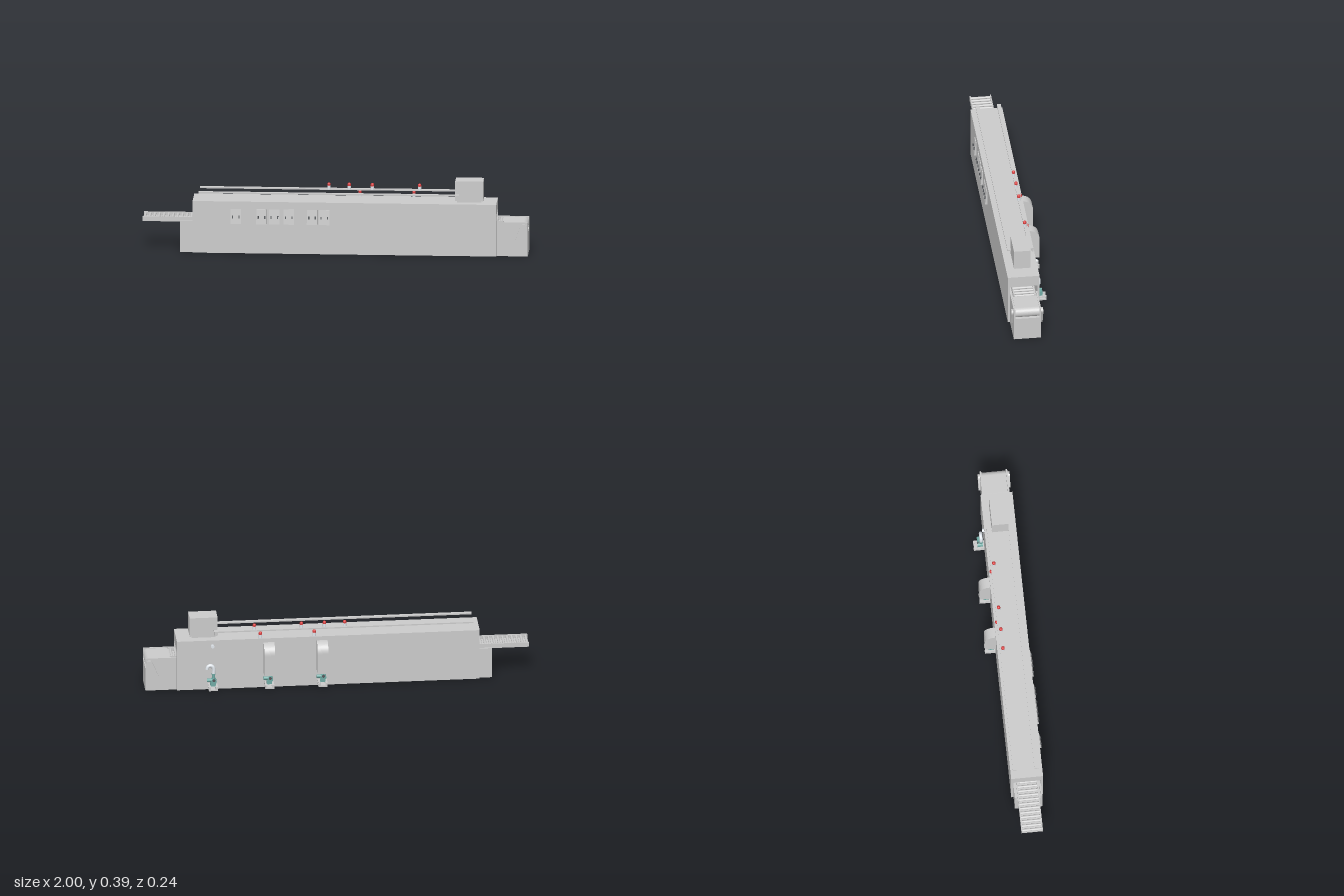
import * as THREE from 'three';

const paint = (color) => new THREE.MeshStandardMaterial({ color, side: THREE.DoubleSide });
const grey = paint(0xcccccc), red = paint(0xd94040), white = paint(0xe2e8ee);
const teal = paint(0x70aaa4), dark = paint(0x55585c);

function add(parent, name, geometry, material = grey) {
  const mesh = new THREE.Mesh(geometry, material);
  mesh.name = name;
  parent.add(mesh);
  return mesh;
}

// Box given by its limits on each axis
function box(parent, name, [x0, x1], [y0, y1], [z0, z1], material) {
  const mesh = add(parent, name, new THREE.BoxGeometry(x1 - x0, y1 - y0, z1 - z0), material);
  mesh.position.set((x0 + x1) / 2, (y0 + y1) / 2, (z0 + z1) / 2);
  return mesh;
}

function cylinder(parent, name, r, h, [x, y, z], material, axis = 'y') {
  const mesh = add(parent, name, new THREE.CylinderGeometry(r, r, h, 20), material);
  mesh.position.set(x, y, z);
  if (axis === 'x') mesh.rotation.z = Math.PI / 2;
  if (axis === 'z') mesh.rotation.x = Math.PI / 2;
  return mesh;
}

// Cross-section in (z, y), extruded along x from x0 to x1
function alongX(parent, name, shape, x0, x1, material) {
  const g = new THREE.ExtrudeGeometry(shape, { depth: x1 - x0, bevelEnabled: false, curveSegments: 16 });
  g.rotateY(-Math.PI / 2);
  g.scale(-1, 1, 1);
  // The mirror reverses the winding, so swap two corners of each triangle
  for (const key of ['position', 'normal', 'uv']) {
    const a = g.attributes[key], n = a.itemSize;
    for (let i = 0; i < a.count; i += 3) {
      for (let k = 0; k < n; k++) {
        const p = (i + 1) * n + k, q = (i + 2) * n + k;
        [a.array[p], a.array[q]] = [a.array[q], a.array[p]];
      }
    }
  }
  g.computeVertexNormals();
  const mesh = add(parent, name, g, material);
  mesh.position.x = x0;
  return mesh;
}

const polygon = (pts) => new THREE.Shape(pts.map(([a, b]) => new THREE.Vector2(a, b)));

// Upright capsule outline
function capsule(r, half) {
  const s = new THREE.Shape();
  s.absarc(0, half, r, 0, Math.PI);
  s.absarc(0, -half, r, Math.PI, Math.PI * 2);
  s.closePath();
  return s;
}

function beacon(parent, x, y, z) {
  const g = new THREE.Group();
  g.name = 'warningLight';
  g.position.set(x, y, z);
  parent.add(g);
  cylinder(g, 'lightBase', 0.009, 0.02, [0, 0.01, 0], white);
  cylinder(g, 'lightBody', 0.009, 0.008, [0, 0.023, 0], red);
  add(g, 'lightDome', new THREE.SphereGeometry(0.009, 20, 8, 0, Math.PI * 2, 0, Math.PI / 2), red).position.y = 0.026;
}

function accessPanel(parent, x) {
  const g = new THREE.Group();
  g.name = 'accessPanel';
  parent.add(g);
  const wedge = polygon([[0.103, 0.158], [0.116, 0.158], [0.108, 0.236], [0.103, 0.236]]);
  alongX(g, 'panelDoor', wedge, x - 0.027, x + 0.027);
  for (const s of [-1, 1]) {
    const latch = box(g, 'panelLatch', [x + s * 0.017 - 0.003, x + s * 0.017 + 0.003], [0.188, 0.202], [0.11, 0.118], dark);
    latch.rotation.x = -0.1;
  }
}

function pumpStation(parent, x) {
  const g = new THREE.Group();
  g.name = 'pumpStation';
  g.position.x = x;
  parent.add(g);
  // Hollow stand
  const stand = polygon([[-0.118, 0.012], [-0.06, 0.012], [-0.06, 0.034], [-0.118, 0.034]]);
  stand.holes.push(new THREE.Path([[-0.112, 0.02], [-0.112, 0.029], [-0.064, 0.029], [-0.064, 0.02]]
    .map(([a, b]) => new THREE.Vector2(a, b))));
  for (const s of [-1, 1]) alongX(g, 'standFrame', stand, s * 0.018 - 0.006, s * 0.018 + 0.006);
  box(g, 'standPlate', [-0.024, 0.024], [0.012, 0.019], [-0.116, -0.062]);
  // Pump with motor
  box(g, 'pumpFoot', [-0.014, 0.014], [0.03, 0.05], [-0.097, -0.083], teal);
  cylinder(g, 'pumpHousing', 0.015, 0.028, [-0.004, 0.056, -0.083], teal, 'z');
  cylinder(g, 'pumpOutlet', 0.008, 0.035, [-0.004, 0.078, -0.078], teal);
  cylinder(g, 'outletFlange', 0.01, 0.005, [-0.004, 0.093, -0.078], teal);
  cylinder(g, 'pumpMotor', 0.009, 0.026, [0.018, 0.062, -0.089], teal, 'x');
  cylinder(g, 'motorCap', 0.008, 0.012, [-0.004, 0.063, -0.092], dark, 'z');
}

export function createModel() {
  const model = new THREE.Group();
  model.name = 'tunnelMachine';

  // Long housing: solid base with an open tunnel hood above
  box(model, 'housingBase', [-0.74, 0.835], [0, 0.125], [-0.062, 0.104]);
  const hood = polygon([[-0.062, 0.125], [-0.05, 0.125], [-0.05, 0.215], [0.092, 0.215],
    [0.092, 0.125], [0.104, 0.125], [0.104, 0.275], [-0.062, 0.275]]);
  alongX(model, 'tunnelHood', hood, -0.74, 0.835);

  // End modules with side plates
  for (const [x0, x1] of [[-0.805, -0.74], [0.835, 0.998]]) {
    box(model, 'endBase', [x0, x1], [0, 0.125], [-0.05, 0.093]);
    for (const z of [-0.05, 0.085]) box(model, 'endSidePlate', [x0, x1], [0.125, x0 < 0 ? 0.165 : 0.181], [z, z + 0.008]);
  }

  // Exit belt and its slanted tension covers
  const belt = capsule(0.0265, 0.05);
  const beltMesh = add(model, 'exitBelt',
    new THREE.ExtrudeGeometry(belt, { depth: 0.126, bevelEnabled: false, curveSegments: 20 }));
  beltMesh.rotation.z = Math.PI / 2;
  beltMesh.position.set(0.922, 0.1515, -0.042);
  for (const z of [-0.062, 0.093]) {
    const cover = add(model, 'tensionCover',
      new THREE.ExtrudeGeometry(capsule(0.016, 0.04), { depth: 0.011, bevelEnabled: false }));
    cover.rotation.z = -0.38;
    cover.position.set(0.962, 0.118, z);
  }

  // Roller conveyor through the tunnel
  const conveyor = new THREE.Group();
  conveyor.name = 'rollerConveyor';
  model.add(conveyor);
  box(conveyor, 'conveyorTray', [-1, 0.87], [0.158, 0.164], [-0.035, 0.077]);
  for (const z of [-0.035, 0.071]) box(conveyor, 'conveyorRail', [-1, 0.87], [0.16, 0.183], [z, z + 0.006]);
  for (let x = -0.99; x < 0.87; x += 0.024) cylinder(conveyor, 'roller', 0.007, 0.102, [x, 0.174, 0.021], grey, 'z');

  // Cabinet and overhead rails
  box(model, 'cabinetFoot', [0.63, 0.755], [0.275, 0.286], [-0.02, 0.059]);
  box(model, 'controlCabinet', [0.62, 0.765], [0.284, 0.388], [-0.024, 0.063]);
  for (const z of [-0.05, 0.062]) box(model, 'overheadRail', [-0.71, 0.64], [0.311, 0.318], [z, z + 0.02]);
  box(model, 'railCrossPiece', [0.62, 0.64], [0.311, 0.318], [-0.05, -0.02]);
  box(model, 'railHook', [0.62, 0.64], [0.298, 0.318], [-0.053, -0.046]);

  for (const x of [-0.04, 0.065, 0.185, 0.43]) beacon(model, x, 0.315, -0.034);
  for (const x of [0.12, 0.4]) beacon(model, x, 0.275, -0.05);
  for (const x of [-0.515, -0.382, -0.315, -0.24, -0.12, -0.056]) accessPanel(model, x);

  // Rear ducts and pump stations
  const duct = new THREE.Shape();
  duct.moveTo(-0.06, 0.085);
  duct.lineTo(-0.118, 0.085);
  duct.lineTo(-0.118, 0.198);
  duct.bezierCurveTo(-0.118, 0.228, -0.096, 0.253, -0.06, 0.253);
  duct.closePath();
  for (const x of [0.08, 0.357]) {
    alongX(model, 'rearDuct', duct, x - 0.028, x + 0.028);
    pumpStation(model, x);
  }
  pumpStation(model, 0.65);

  // Bent pipe above the third pump
  const bend = new THREE.CatmullRomCurve3([[0.646, 0.09], [0.646, 0.12], [0.651, 0.134], [0.663, 0.14],
    [0.675, 0.134], [0.68, 0.12]].map(([x, y]) => new THREE.Vector3(x, y, -0.078)));
  add(model, 'bentPipe', new THREE.TubeGeometry(bend, 28, 0.009, 16), white);
  cylinder(model, 'wallPort', 0.009, 0.012, [0.65, 0.244, -0.067], white, 'z');
  return model;
}
